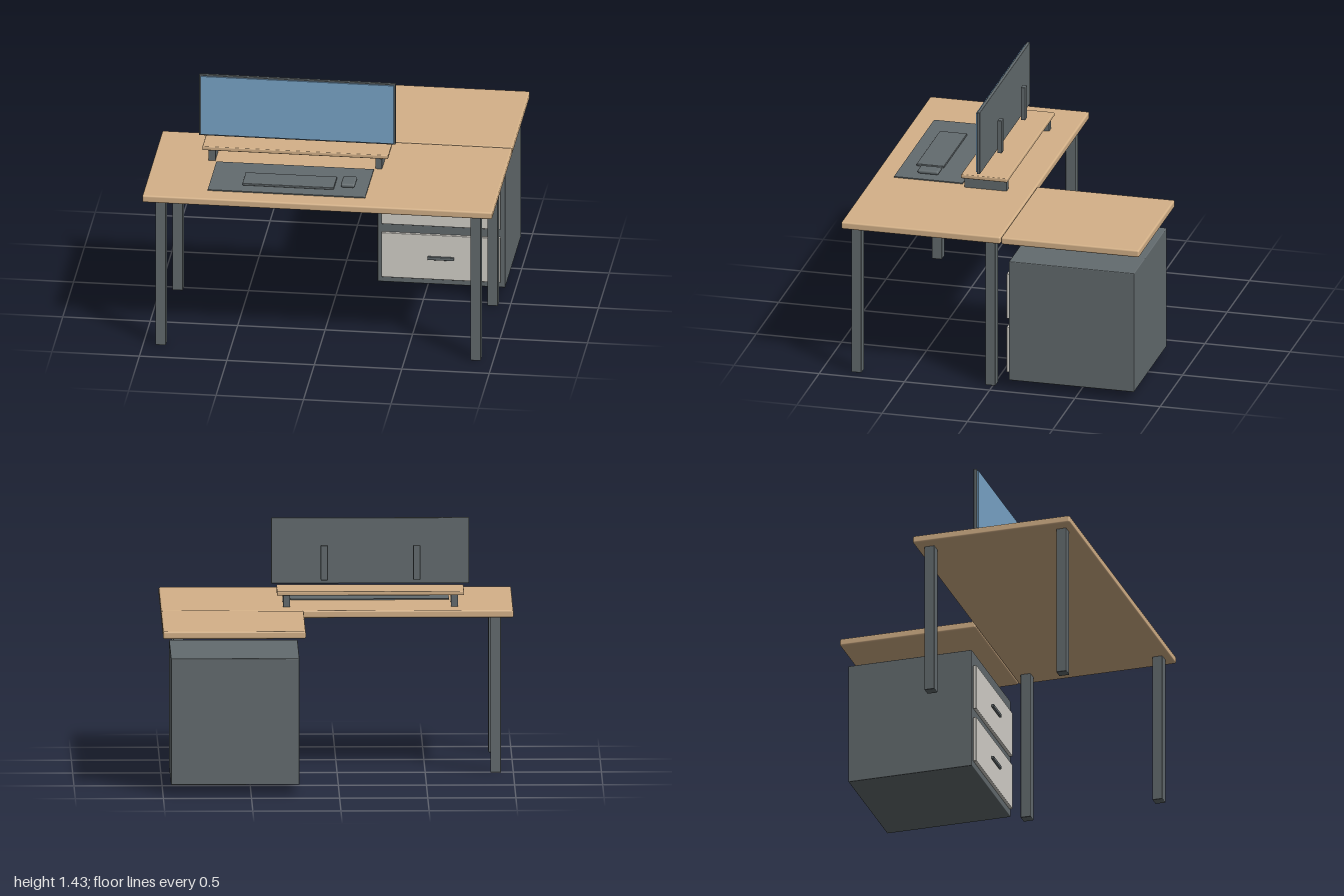
import * as THREE from 'three';
import { RoundedBoxGeometry } from 'three/addons/geometries/RoundedBoxGeometry.js';

const material = (name, color) => {
  const m = new THREE.MeshStandardMaterial({ color });
  m.name = name;
  return m;
};

export function createModel() {
  const wood = material('wood', 0xd4b188);
  const metal = material('dark metal', 0x636b6e);
  const panel = material('drawer panel', 0xd5d2cb);
  const glass = material('screen blue', 0x7aa6ca);

  const model = new THREE.Group();
  model.name = 'cornerDesk';

  const group = (name) => {
    const g = new THREE.Group();
    g.name = name;
    model.add(g);
    return g;
  };

  // Box given by its [min, max] extents, with optional rounded edges
  const box = (parent, name, mat, [x0, x1], [y0, y1], [z0, z1], radius = 0) => {
    const size = [x1 - x0, y1 - y0, z1 - z0];
    const geometry = radius
      ? new RoundedBoxGeometry(...size, 3, radius)
      : new THREE.BoxGeometry(...size);
    const mesh = new THREE.Mesh(geometry, mat);
    mesh.name = name;
    mesh.position.set((x0 + x1) / 2, (y0 + y1) / 2, (z0 + z1) / 2);
    parent.add(mesh);
  };

  // Worktops
  const tops = group('worktops');
  box(tops, 'mainTop', wood, [-1, 1], [0.895, 0.938], [-0.062, 0.872], 0.01);
  box(tops, 'returnTop', wood, [0.19, 1], [0.895, 0.938], [-0.875, -0.066], 0.01);

  // Four legs
  const legs = group('legs');
  for (const x of [-0.9, 0.9]) {
    for (const z of [0.8, 0.015]) {
      box(legs, 'leg', metal, [x - 0.03, x + 0.03], [0, 0.896], [z - 0.03, z + 0.03], 0.004);
    }
  }

  // Drawer cabinet
  const cabinet = group('cabinet');
  box(cabinet, 'cabinetBody', metal, [0.225, 0.955], [0.053, 0.777], [-0.835, -0.1], 0.005);
  for (const [y0, y1, handleY] of [[0.09, 0.365, 0.227], [0.418, 0.69, 0.552]]) {
    box(cabinet, 'drawerFront', panel, [0.25, 0.93], [y0, y1], [-0.1, -0.08], 0.004);
    box(cabinet, 'drawerHandle', metal, [0.515, 0.665], [handleY - 0.01, handleY + 0.01], [-0.075, -0.06], 0.004);
  }

  // Raised shelf on two side supports
  const riser = group('monitorRiser');
  box(riser, 'riserShelf', wood, [-0.722, 0.34], [1.004, 1.028], [0.07, 0.342], 0.006);
  for (const x of [-0.668, 0.285]) {
    box(riser, 'riserSupport', metal, [x - 0.019, x + 0.019], [0.938, 1.005], [0.083, 0.33]);
  }

  // Wide monitor with two rear posts
  const monitor = group('monitor');
  box(monitor, 'monitorHousing', metal, [-0.753, 0.37], [1.052, 1.428], [0.222, 0.24], 0.003);
  box(monitor, 'screen', glass, [-0.743, 0.36], [1.061, 1.419], [0.24, 0.248]);
  for (const x of [-0.455, 0.07]) {
    box(monitor, 'monitorPost', metal, [x - 0.02, x + 0.02], [1.077, 1.277], [0.167, 0.193], 0.004);
  }

  // Desk mat, keyboard and mouse
  const accessories = group('accessories');
  box(accessories, 'deskMat', metal, [-0.64, 0.26], [0.938, 0.944], [0.352, 0.755]);
  box(accessories, 'keyboard', metal, [-0.452, 0.07], [0.944, 0.957], [0.512, 0.672], 0.003);
  box(accessories, 'mouse', metal, [0.105, 0.185], [0.944, 0.968], [0.515, 0.638], 0.011);

  return model;
}
